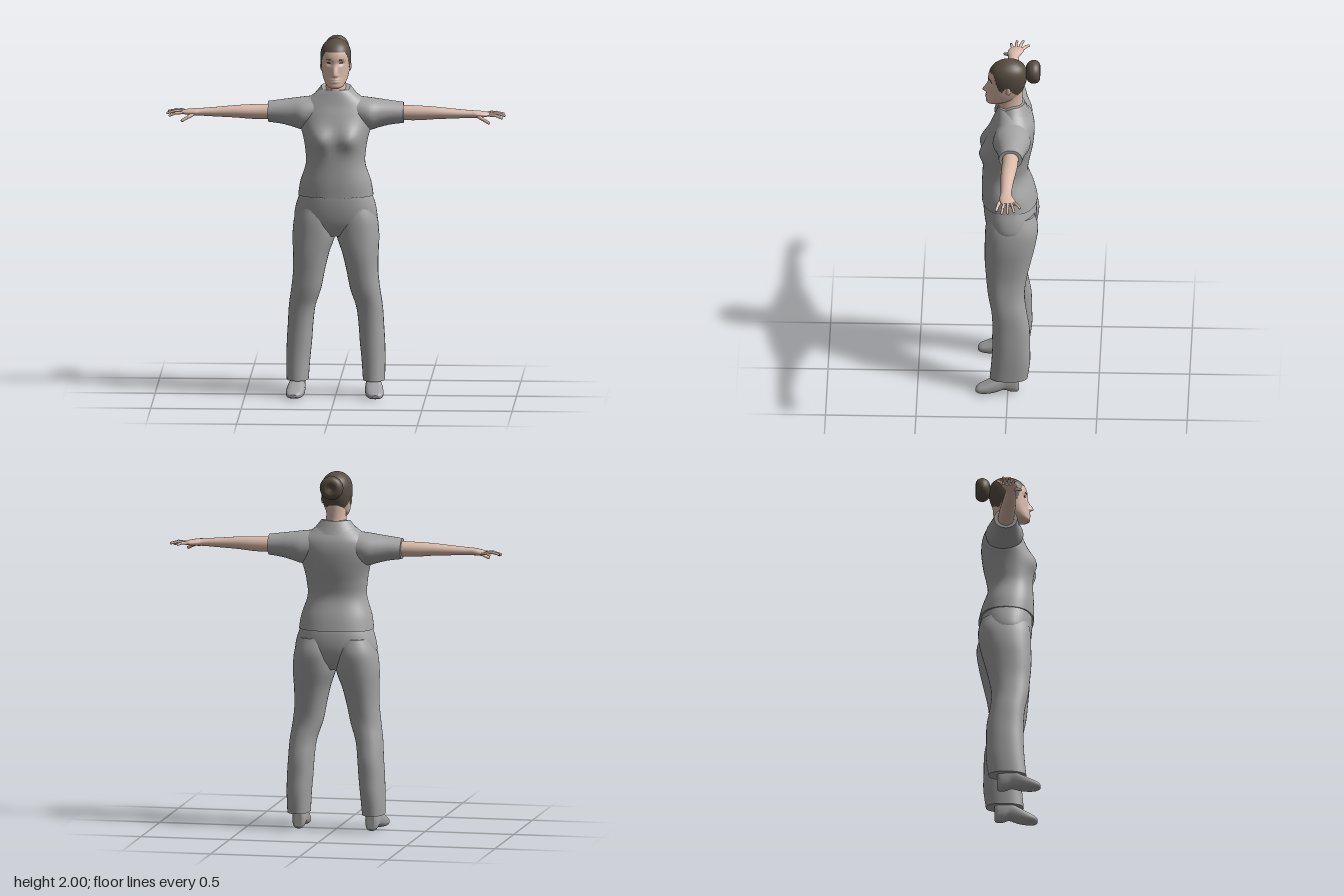
import * as THREE from 'three';

const mat = (name, color) => Object.assign(new THREE.MeshStandardMaterial({ color }), { name });
const cloth = mat('cloth grey', 0xa3a3a3);
const skin = mat('skin', 0xdbbbaa);
const hair = mat('hair brown', 0x574d41);
const dark = mat('eye dark', 0x4a3f3a);

// Smooth closed skin through cross-sections [t, u0, u1, v0, v1] along an axis.
// x: (u,v) = (y,z);  y: (u,v) = (x,z);  z: (u,v) = (x,y)
function loft(rows, axis, { side = 1, n = 32, sub = 4, power = 2, deform } = {}) {
  const rings = [];
  const at = i => rows[Math.max(0, Math.min(rows.length - 1, i))];
  for (let i = 0; i < rows.length - 1; i++) {
    for (let k = 0; k < sub; k++) rings.push(rows[i].map((_, c) => {
      const [a, b, d, e] = [at(i - 1)[c], at(i)[c], at(i + 1)[c], at(i + 2)[c]], f = k / sub;
      return b + 0.5 * f * (d - a + f * (2 * a - 5 * b + 4 * d - e + f * (3 * (b - d) + e - a)));
    }));
  }
  rings.push(rows[rows.length - 1]);

  const pos = [], idx = [];
  const put = (t, u, v) => {
    const p = axis === 'x' ? [t, u, v] : axis === 'y' ? [u, t, v] : [u, v, t];
    const q = new THREE.Vector3(...p);
    if (deform) deform(q);
    pos.push(q.x * side, q.y, q.z);
  };
  const bend = c => Math.sign(c) * Math.abs(c) ** (2 / power);
  const ring = ([t, u0, u1, v0, v1]) => {
    for (let j = 0; j < n; j++) {
      const a = j / n * Math.PI * 2;
      put(t, (u0 + u1) / 2 + (u1 - u0) / 2 * bend(Math.cos(a)), (v0 + v1) / 2 + (v1 - v0) / 2 * bend(Math.sin(a)));
    }
  };
  rings.forEach(ring);
  for (let i = 0; i < rings.length - 1; i++) for (let j = 0; j < n; j++) {
    const a = i * n + j, b = i * n + (j + 1) % n;
    idx.push(a, b, a + n, b, b + n, a + n);
  }
  // end caps with their own rings so the rims stay crisp
  for (const [r, last] of [[rings[0], false], [rings[rings.length - 1], true]]) {
    const s = pos.length / 3;
    ring(r);
    put(r[0], (r[1] + r[2]) / 2, (r[3] + r[4]) / 2);
    for (let j = 0; j < n; j++) {
      const a = s + j, b = s + (j + 1) % n;
      last ? idx.push(a, b, s + n) : idx.push(b, a, s + n);
    }
  }
  // turn the faces outward
  let vol = 0;
  const [A, B, C] = [0, 0, 0].map(() => new THREE.Vector3());
  for (let i = 0; i < idx.length; i += 3) {
    A.fromArray(pos, idx[i] * 3); B.fromArray(pos, idx[i + 1] * 3); C.fromArray(pos, idx[i + 2] * 3);
    vol += A.dot(B.cross(C));
  }
  if (vol < 0) idx.reverse();
  const g = new THREE.BufferGeometry();
  g.setAttribute('position', new THREE.Float32BufferAttribute(pos, 3));
  g.setIndex(idx);
  g.computeVertexNormals();
  return g;
}

// Rounded rod between two points
function rod(p, q, r) {
  const a = new THREE.Vector3(...p), b = new THREE.Vector3(...q), d = b.clone().sub(a);
  const g = new THREE.CapsuleGeometry(r, d.length(), 4, 10);
  g.applyQuaternion(new THREE.Quaternion().setFromUnitVectors(new THREE.Vector3(0, 1, 0), d.normalize()));
  return g.translate(...a.add(b).multiplyScalar(0.5).toArray());
}

// Mirror-symmetric rows [y, halfWidth, zBack, zFront]
const even = rows => rows.map(([y, w, b, f]) => [y, -w, w, b, f]);
const bump = (d, w) => Math.exp(-((d / w) ** 2));

// Height of the hairline at depth z
const HAIRLINE = [[-0.2, 1.775], [-0.06, 1.785], [-0.035, 1.82], [0, 1.86], [0.02, 1.86], [0.035, 1.835], [0.055, 1.845], [0.085, 1.935], [0.2, 1.945]];
function hairline(z) {
  const i = HAIRLINE.findIndex(p => p[0] > z), [z0, y0] = HAIRLINE[i - 1], [z1, y1] = HAIRLINE[i];
  return y0 + (y1 - y0) * (z - z0) / (z1 - z0);
}

export function createModel() {
  const model = new THREE.Group();
  const add = (name, geo, material, parent = model) => {
    const m = new THREE.Mesh(geo, material);
    m.name = name;
    parent.add(m);
    return m;
  };

  // Shirt body with bust
  add('shirt', loft(even([
    [1.125, 0.208, -0.158, 0.148], [1.2, 0.196, -0.14, 0.15], [1.3, 0.165, -0.107, 0.145], [1.38, 0.168, -0.115, 0.142],
    [1.45, 0.18, -0.13, 0.138], [1.52, 0.2, -0.14, 0.12], [1.58, 0.205, -0.142, 0.1], [1.63, 0.19, -0.132, 0.08],
    [1.67, 0.14, -0.11, 0.068], [1.7, 0.1, -0.092, 0.06], [1.715, 0.075, -0.08, 0.055]]), 'y', {
    n: 56, power: 2.3,
    deform: p => { if (p.z > 0) p.z += 0.034 * bump(Math.abs(p.x) - 0.085, 0.06) * bump(p.y - 1.45, 0.065); },
  }), cloth);
  add('collar', loft(even([[1.66, 0.145, -0.118, 0.078], [1.695, 0.112, -0.104, 0.072], [1.735, 0.08, -0.088, 0.062]]), 'y', {
    deform: p => { p.y -= 0.05 * Math.max(0, p.z + 0.02) / 0.1; },
  }), cloth);

  // Trousers: hips, then a leg, sleeve, arm and shoe on each side
  add('hips', loft(even([[0.9, 0.15, -0.09, 0.08], [0.95, 0.2, -0.13, 0.115], [1.0, 0.228, -0.15, 0.13],
    [1.06, 0.222, -0.155, 0.138], [1.12, 0.203, -0.148, 0.14], [1.17, 0.185, -0.13, 0.135]]), 'y', { n: 48, power: 2.3 }), cloth);

  for (const [label, side] of [['left', 1], ['right', -1]]) {
    const half = new THREE.Group();
    half.name = label + 'Limbs';
    model.add(half);
    add('trouserLeg', loft([
      [0.09, 0.15, 0.272, -0.11, 0.1], [0.2, 0.142, 0.274, -0.124, 0.09], [0.3, 0.132, 0.272, -0.122, 0.085],
      [0.4, 0.125, 0.266, -0.12, 0.085], [0.5, 0.112, 0.26, -0.103, 0.092], [0.6, 0.08, 0.246, -0.092, 0.112],
      [0.7, 0.06, 0.236, -0.105, 0.122], [0.8, 0.036, 0.237, -0.128, 0.13], [0.9, 0.003, 0.24, -0.152, 0.13],
      [1.0, 0.003, 0.229, -0.165, 0.126], [1.08, 0.02, 0.2, -0.145, 0.11]], 'y', { side, power: 2.3 }), cloth, half);
    add('sleeve', loft([
      [0.1, 1.51, 1.675, -0.115, 0.07], [0.18, 1.485, 1.666, -0.125, 0.085], [0.24, 1.5, 1.658, -0.112, 0.068],
      [0.3, 1.515, 1.65, -0.097, 0.055], [0.375, 1.525, 1.64, -0.085, 0.045]], 'x', { side }), cloth, half);
    add('arm', loft([
      [0.34, 1.54, 1.625, -0.065, 0.025], [0.45, 1.54, 1.622, -0.06, 0.028], [0.55, 1.548, 1.617, -0.05, 0.03],
      [0.65, 1.553, 1.608, -0.04, 0.027], [0.745, 1.558, 1.6, -0.035, 0.025], [0.78, 1.558, 1.598, -0.045, 0.03],
      [0.82, 1.561, 1.592, -0.06, 0.026], [0.85, 1.565, 1.585, -0.058, 0.012]], 'x', { side, n: 24 }), skin, half);
    // Fingers and thumb: base, knuckle, tip
    const fingers = [
      [[0.83, 1.576, -0.05], [0.86, 1.58, -0.071], [0.88, 1.573, -0.084]],
      [[0.84, 1.576, -0.036], [0.885, 1.583, -0.045], [0.925, 1.574, -0.053]],
      [[0.84, 1.576, -0.018], [0.89, 1.581, -0.018], [0.932, 1.569, -0.019]],
      [[0.835, 1.575, 0.002], [0.885, 1.573, 0.01], [0.918, 1.56, 0.014]],
      [[0.78, 1.573, 0.015], [0.815, 1.556, 0.035], [0.848, 1.538, 0.046]]];
    fingers.forEach(([a, b, c], i) => {
      const f = p => [p[0] * side, p[1], p[2]], r = i === 4 ? 0.01 : 0.0085;
      const name = i === 4 ? 'thumb' : 'finger' + (i + 1);
      add(name + 'Base', rod(f(a), f(b), r), skin, half);
      add(name + 'Tip', rod(f(b), f(c), r * 0.85), skin, half);
    });
    add('shoe', loft([
      [-0.062, 0.185, 0.225, 0.01, 0.1], [-0.05, 0.172, 0.24, 0, 0.115], [-0.015, 0.168, 0.246, 0.002, 0.12],
      [0.02, 0.168, 0.25, 0.015, 0.115], [0.07, 0.165, 0.264, 0.004, 0.088], [0.12, 0.17, 0.27, 0, 0.06],
      [0.16, 0.185, 0.264, 0.003, 0.04], [0.177, 0.208, 0.245, 0.01, 0.026]], 'z', { side, n: 24, power: 2.6 }), cloth, half);
  }

  // Neck
  add('neck', loft(even([[1.64, 0.07, -0.085, 0.06], [1.7, 0.06, -0.08, 0.056], [1.75, 0.055, -0.075, 0.05],
    [1.82, 0.055, -0.08, 0.04]]), 'y'), skin);

  // Head: nose, lips and eye sockets shaped by rule, hair painted above the hairline
  const head = loft(even([
    [1.733, 0.025, 0.06, 0.115], [1.745, 0.045, 0.02, 0.127], [1.77, 0.062, -0.04, 0.124], [1.8, 0.072, -0.066, 0.118],
    [1.83, 0.078, -0.083, 0.115], [1.865, 0.083, -0.095, 0.113], [1.9, 0.085, -0.101, 0.114], [1.935, 0.081, -0.098, 0.105],
    [1.965, 0.067, -0.083, 0.084], [1.987, 0.043, -0.055, 0.052], [1.997, 0.02, -0.027, 0.024], [2, 0.004, -0.006, 0.004]]), 'y', {
    n: 72, sub: 6, power: 2.15,
    deform: p => {
      if (p.z < 0.05) return;
      const up = p.y > 1.812;
      p.z += 0.03 * bump(p.x, up ? 0.012 : 0.015) * bump(p.y - 1.812, up ? 0.036 : 0.012)
        + 0.008 * bump(p.x, 0.025) * (bump(p.y - 1.786, 0.006) + bump(p.y - 1.772, 0.006))
        - 0.012 * bump(Math.abs(p.x) - 0.034, 0.017) * bump(p.y - 1.875, 0.012);
    },
  });
  const P = head.attributes.position, src = head.index.array, parts = [[], []];
  for (let i = 0; i < src.length; i += 3) {
    const t = [src[i], src[i + 1], src[i + 2]];
    const mid = k => t.reduce((s, v) => s + P.getComponent(v, k), 0) / 3;
    parts[mid(1) > hairline(mid(2)) ? 1 : 0].push(...t);
  }
  head.setIndex([...parts[0], ...parts[1]]);
  head.addGroup(0, parts[0].length, 0);
  head.addGroup(parts[0].length, parts[1].length, 1);
  add('head', head, [skin, hair]);

  // Eyes, brows and ears
  const blob = (name, m, at, size, turn = 0) => {
    const b = add(name, new THREE.SphereGeometry(1, 16, 10), m);
    b.position.set(...at);
    b.scale.set(...size);
    b.rotation.y = turn;
  };
  for (const s of [1, -1]) {
    blob('eye', dark, [s * 0.033, 1.876, 0.096], [0.011, 0.0035, 0.004], s * 0.3);
    blob('eyebrow', dark, [s * 0.035, 1.895, 0.104], [0.017, 0.0025, 0.004], s * 0.4);
    blob('ear', skin, [s * 0.079, 1.843, 0.002], [0.007, 0.026, 0.014], -s * 0.3);
  }

  // Hair bun: a dimpled disc behind the head
  const bun = add('hairBun', new THREE.LatheGeometry(new THREE.SplineCurve([
    [0, -0.045], [0.035, -0.042], [0.058, -0.025], [0.066, 0], [0.058, 0.024], [0.038, 0.035], [0.018, 0.03], [0, 0.022],
  ].map(p => new THREE.Vector2(...p))).getPoints(28), 32), hair);
  bun.rotation.x = -Math.PI / 2;
  bun.position.set(0, 1.928, -0.138);

  return model;
}
